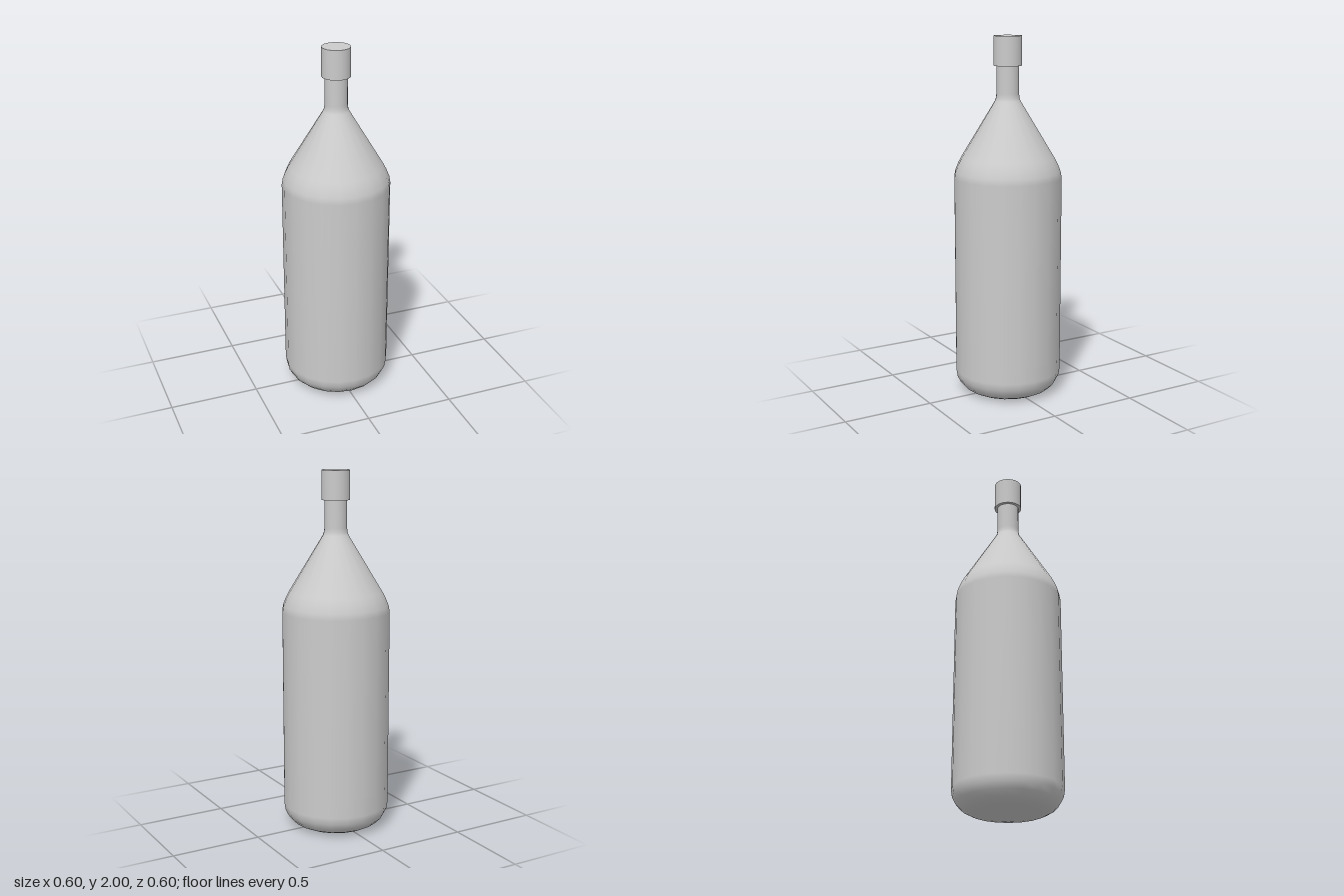
import * as THREE from 'three';

const SIDES = 20;

export function createModel() {
  const group = new THREE.Group();
  const material = new THREE.MeshStandardMaterial({ color: 0xcccccc });
  const add = (name, geometry, y = 0) => {
    const mesh = new THREE.Mesh(geometry, material);
    mesh.name = name;
    mesh.position.y = y;
    group.add(mesh);
  };

  // Bottle: flat base, rounded heel, straight wall, conical shoulder and neck
  const profile = [[0, 0], [0.17, 0]];
  const heel = 0.125;
  for (let i = 1; i <= 5; i++) {
    const a = (i / 5) * Math.PI / 2;
    profile.push([0.173 + heel * Math.sin(a), heel * (1 - Math.cos(a))]);
  }
  profile.push(
    [0.298, 1.23], [0.292, 1.265], [0.276, 1.305], [0.258, 1.34],
    [0.07, 1.65], [0.064, 1.668], [0.062, 1.69], [0.062, 1.85]
  );
  add('bottle', new THREE.LatheGeometry(profile.map(([x, y]) => new THREE.Vector2(x, y)), SIDES));

  // Cap
  add('cap', new THREE.CylinderGeometry(0.078, 0.078, 0.16, SIDES), 1.92);

  return group;
}
